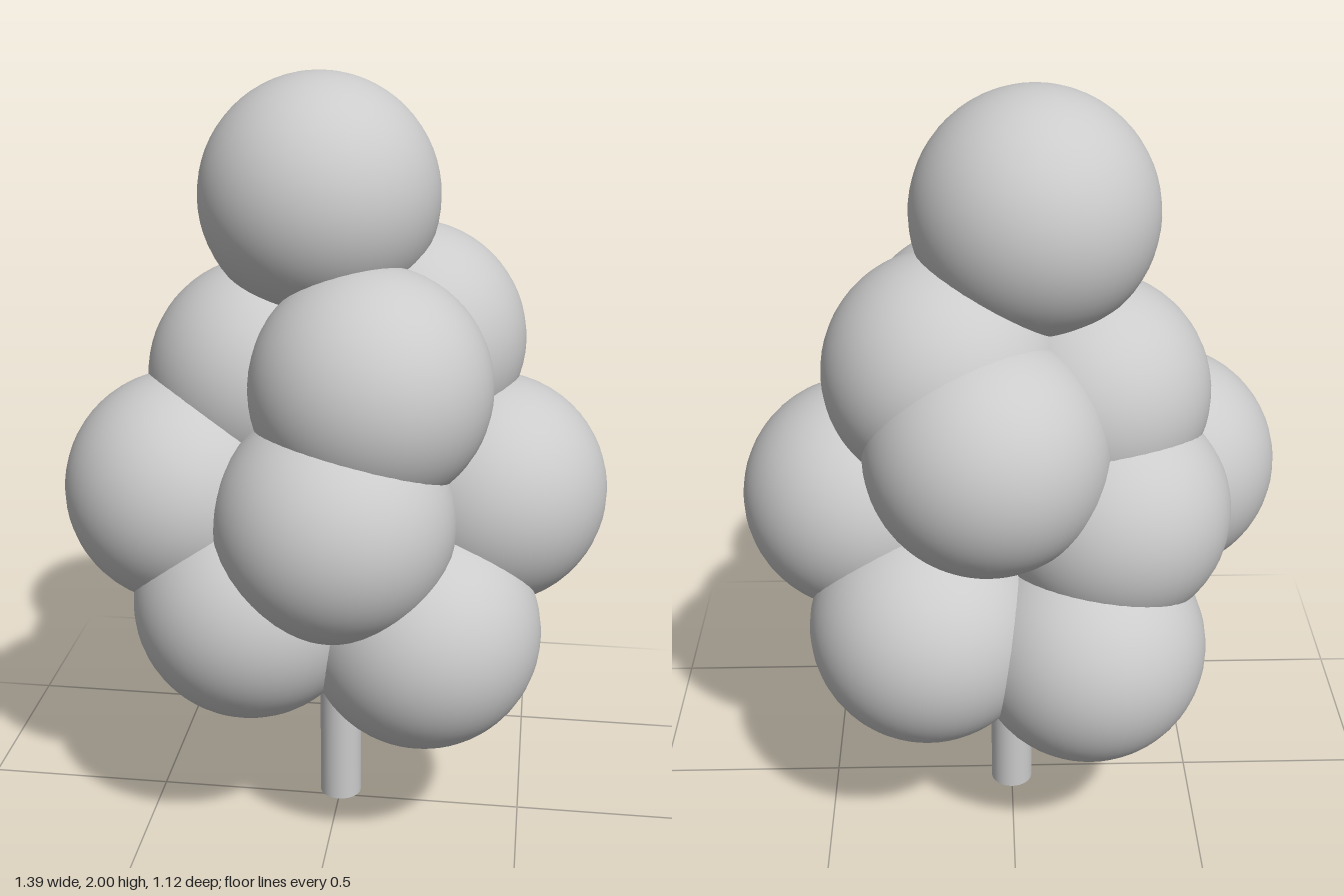
import * as THREE from 'three';

export function createModel() {
  const tree = new THREE.Group();
  tree.name = 'tree';
  const material = new THREE.MeshStandardMaterial({ color: 0xcccccc });

  // Slim round trunk, running up into the crown
  const trunkHeight = 1.4;
  const trunk = new THREE.Mesh(new THREE.CylinderGeometry(0.057, 0.057, trunkHeight, 32), material);
  trunk.name = 'trunk';
  trunk.position.set(0, trunkHeight / 2, -0.035);
  tree.add(trunk);

  // Crown of equal balls: one on top, then three staggered rings of four
  const layers = {
    topFoliage: [[-0.055, 1.698, -0.037]],
    upperFoliage: [
      [0.097, 1.27, 0.167],
      [0.166, 1.32, -0.113],
      [-0.198, 1.23, -0.042],
      [0.065, 1.17, -0.26],
    ],
    middleFoliage: [
      [-0.395, 0.96, 0.094],
      [0.39, 0.943, -0.04],
      [0.02, 0.95, 0.256],
      [-0.25, 0.95, -0.154],
    ],
    lowerFoliage: [
      [-0.205, 0.688, 0.185],
      [0.238, 0.623, 0.17],
      [-0.192, 0.607, -0.256],
      [0.22, 0.662, -0.238],
    ],
  };
  const ball = new THREE.SphereGeometry(0.302, 48, 32);
  for (const [name, centres] of Object.entries(layers)) {
    const layer = new THREE.Group();
    layer.name = name;
    centres.forEach((centre, i) => {
      const mesh = new THREE.Mesh(ball, material);
      mesh.name = `${name}Ball${i + 1}`;
      mesh.position.set(...centre);
      layer.add(mesh);
    });
    tree.add(layer);
  }
  return tree;
}
